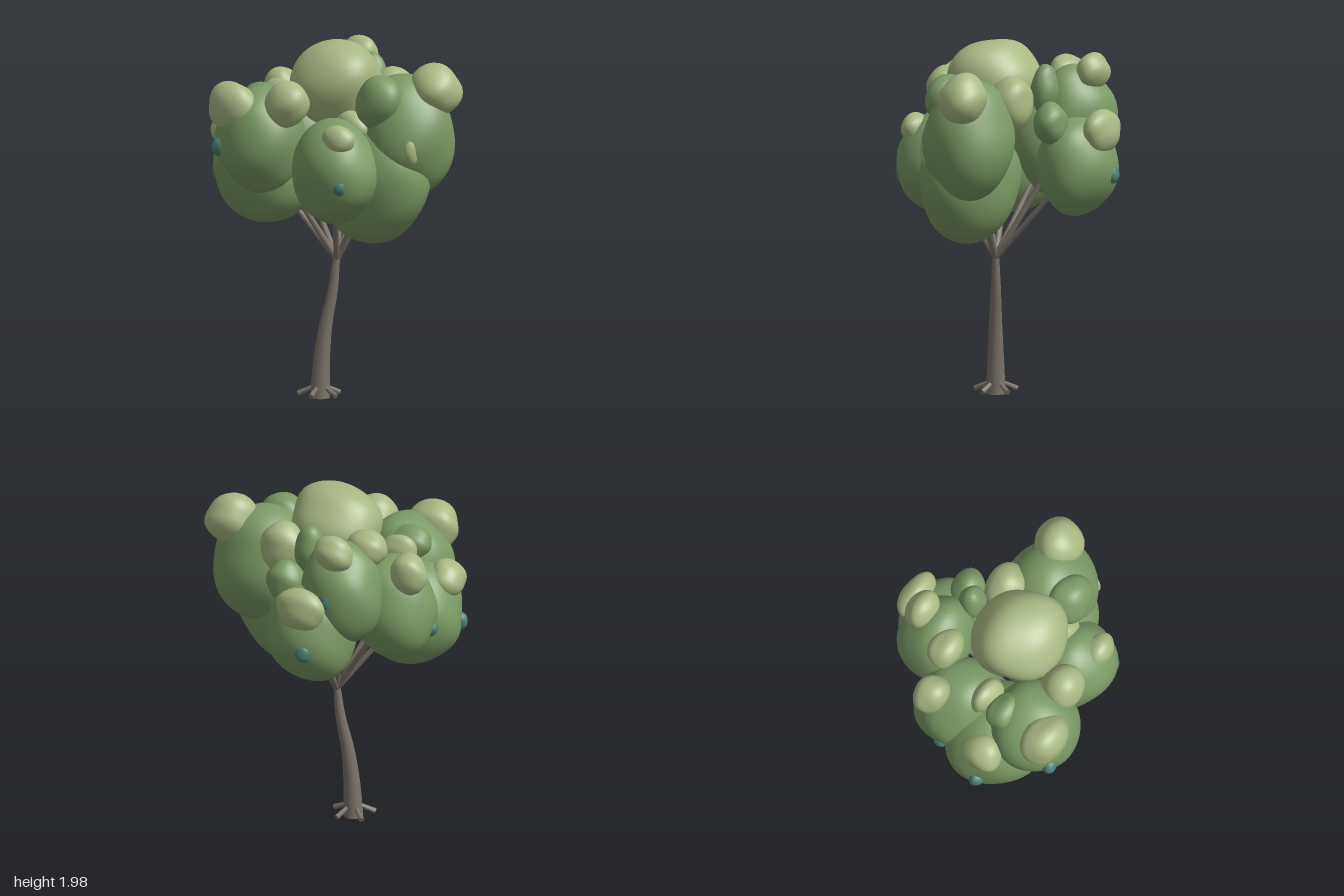
import * as THREE from 'three';
import { mergeVertices } from 'three/addons/utils/BufferGeometryUtils.js';

const material = (color) => new THREE.MeshStandardMaterial({ color });
const BARK = material(0x7a7268);
const GREEN = material(0x7c9a66);
const LIGHT = material(0xa9b983);
const TEAL = material(0x4f7f76);

// Smooth lumpy ellipsoid: a sphere pushed in and out by slow waves
function lumpGeometry(detail, seed, amount) {
  let g = new THREE.IcosahedronGeometry(1, detail);
  g.deleteAttribute('normal');
  g.deleteAttribute('uv');
  g = mergeVertices(g);
  const p = g.attributes.position;
  const v = new THREE.Vector3();
  for (let i = 0; i < p.count; i++) {
    v.fromBufferAttribute(p, i);
    const wave = Math.sin(2.6 * v.x + seed * 1.7) * Math.cos(2.9 * v.y + seed * 2.3)
      + Math.sin(3.1 * v.z + seed * 0.9 + 1.5 * v.x)
      + 0.5 * Math.sin(5 * v.y + 4 * v.z + seed * 3.1);
    v.multiplyScalar(1 + amount * wave);
    p.setXYZ(i, v.x, v.y, v.z);
  }
  g.computeVertexNormals();
  return g;
}

// Each row: centre x, y, z and radii x, y, z
const CROWN = [
  [0.24, 1.24, 0.03, 0.33, 0.34, 0.25],
  [0.38, 1.49, -0.07, 0.27, 0.33, 0.26],
  [0.19, 1.3, 0.29, 0.25, 0.28, 0.22],
  [-0.26, 1.45, 0.4, 0.25, 0.3, 0.25],
  [-0.37, 1.26, 0.24, 0.31, 0.32, 0.27],
  [-0.42, 1.38, -0.02, 0.25, 0.3, 0.22],
  [-0.27, 1.54, -0.32, 0.23, 0.31, 0.2],
  [-0.14, 1.32, -0.42, 0.25, 0.28, 0.22],
];
const GREEN_TUFTS = [
  [0.34, 1.68, 0.09, 0.14, 0.16, 0.12],
  [-0.36, 1.64, 0.27, 0.12, 0.1, 0.09],
  [-0.04, 1.73, -0.27, 0.08, 0.14, 0.08],
  [0.05, 1.57, -0.38, 0.1, 0.11, 0.1],
];
const LIGHT_TUFTS = [
  [-0.01, 1.75, 0.06, 0.27, 0.25, 0.235],
  [-0.34, 1.64, 0.54, 0.155, 0.145, 0.11],
  [-0.05, 1.67, 0.41, 0.12, 0.125, 0.12],
  [0.29, 1.5, 0.37, 0.095, 0.08, 0.08],
  [0.53, 1.74, -0.15, 0.14, 0.14, 0.14],
  [0.17, 1.68, -0.2, 0.13, 0.14, 0.12],
  [0.56, 1.44, 0.06, 0.04, 0.09, 0.06],
  [-0.56, 1.64, -0.09, 0.11, 0.12, 0.09],
  [-0.57, 1.46, 0.3, 0.1, 0.11, 0.11],
  [-0.35, 1.78, -0.18, 0.12, 0.1, 0.09],
  [-0.28, 1.82, -0.42, 0.11, 0.1, 0.085],
  [-0.16, 1.52, -0.57, 0.14, 0.12, 0.085],
  [-0.36, 1.64, 0.14, 0.11, 0.1, 0.07],
  [0.2, 1.53, 0.17, 0.12, 0.1, 0.07],
  [-0.04, 1.24, 0.22, 0.05, 0.06, 0.05],
];
const FRUIT = [
  [-0.37, 1.42, 0.61], [0.34, 1.25, 0.42], [0.52, 1.18, 0.01], [-0.2, 1.28, -0.61],
  [-0.64, 1.22, 0.32], [-0.28, 1.56, -0.49], [-0.62, 1.28, 0.04],
].map((c) => [...c, 0.046, 0.052, 0.04]);

function addLumps(parent, name, rows, mat, detail, amount, seed) {
  const group = new THREE.Group();
  group.name = name + 's';
  rows.forEach(([x, y, z, rx, ry, rz], i) => {
    const mesh = new THREE.Mesh(lumpGeometry(detail, seed + i, amount), mat);
    mesh.name = name;
    mesh.position.set(x, y, z);
    mesh.scale.set(rx, ry, rz);
    group.add(mesh);
  });
  parent.add(group);
}

// Tapered rod between two points
function rod(name, from, to, r0, r1, sides = 8) {
  const axis = to.clone().sub(from);
  const mesh = new THREE.Mesh(new THREE.CylinderGeometry(r1, r0, axis.length(), sides), BARK);
  mesh.name = name;
  mesh.position.copy(from).add(to).multiplyScalar(0.5);
  mesh.quaternion.setFromUnitVectors(new THREE.Vector3(0, 1, 0), axis.normalize());
  return mesh;
}

// Bent trunk: a cylinder whose rings follow a curve and taper
function trunk() {
  const rings = 20;
  const curve = new THREE.CatmullRomCurve3([
    new THREE.Vector3(-0.085, 0, 0.11), new THREE.Vector3(-0.078, 0.2, 0.105),
    new THREE.Vector3(-0.06, 0.4, 0.092), new THREE.Vector3(-0.03, 0.6, 0.066),
    new THREE.Vector3(-0.013, 0.79, 0.053),
  ]);
  const g = new THREE.CylinderGeometry(1, 1, 1, 14, rings);
  const p = g.attributes.position;
  for (let i = 0; i < p.count; i++) {
    const t = p.getY(i) + 0.5;
    const c = curve.getPoint(t);
    const r = 0.055 - 0.036 * t;
    p.setXYZ(i, c.x + p.getX(i) * r, c.y, c.z + p.getZ(i) * r);
  }
  g.computeVertexNormals();
  const mesh = new THREE.Mesh(g, BARK);
  mesh.name = 'trunk';
  return mesh;
}

export function createModel() {
  const tree = new THREE.Group();
  tree.name = 'tree';
  tree.add(trunk());

  // Roots spread evenly around the foot
  for (let i = 0; i < 5; i++) {
    const a = (i / 5) * Math.PI * 2;
    const at = (r, y) => new THREE.Vector3(-0.085 + r * Math.cos(a), y, 0.11 + r * Math.sin(a));
    tree.add(rod('root', at(0.03, 0.065), at(0.12, 0.022), 0.011, 0.016));
  }

  // Branches fan out from the fork, one into each crown mass
  const fork = new THREE.Vector3(-0.013, 0.77, 0.053);
  for (const [x, y, z] of CROWN) {
    tree.add(rod('branch', fork, new THREE.Vector3(x, y, z), 0.018, 0.013));
  }

  addLumps(tree, 'crownMass', CROWN, GREEN, 10, 0.035, 1);
  addLumps(tree, 'greenTuft', GREEN_TUFTS, GREEN, 6, 0.05, 20);
  addLumps(tree, 'lightTuft', LIGHT_TUFTS, LIGHT, 7, 0.045, 40);
  addLumps(tree, 'fruit', FRUIT, TEAL, 3, 0.04, 70);
  return tree;
}
